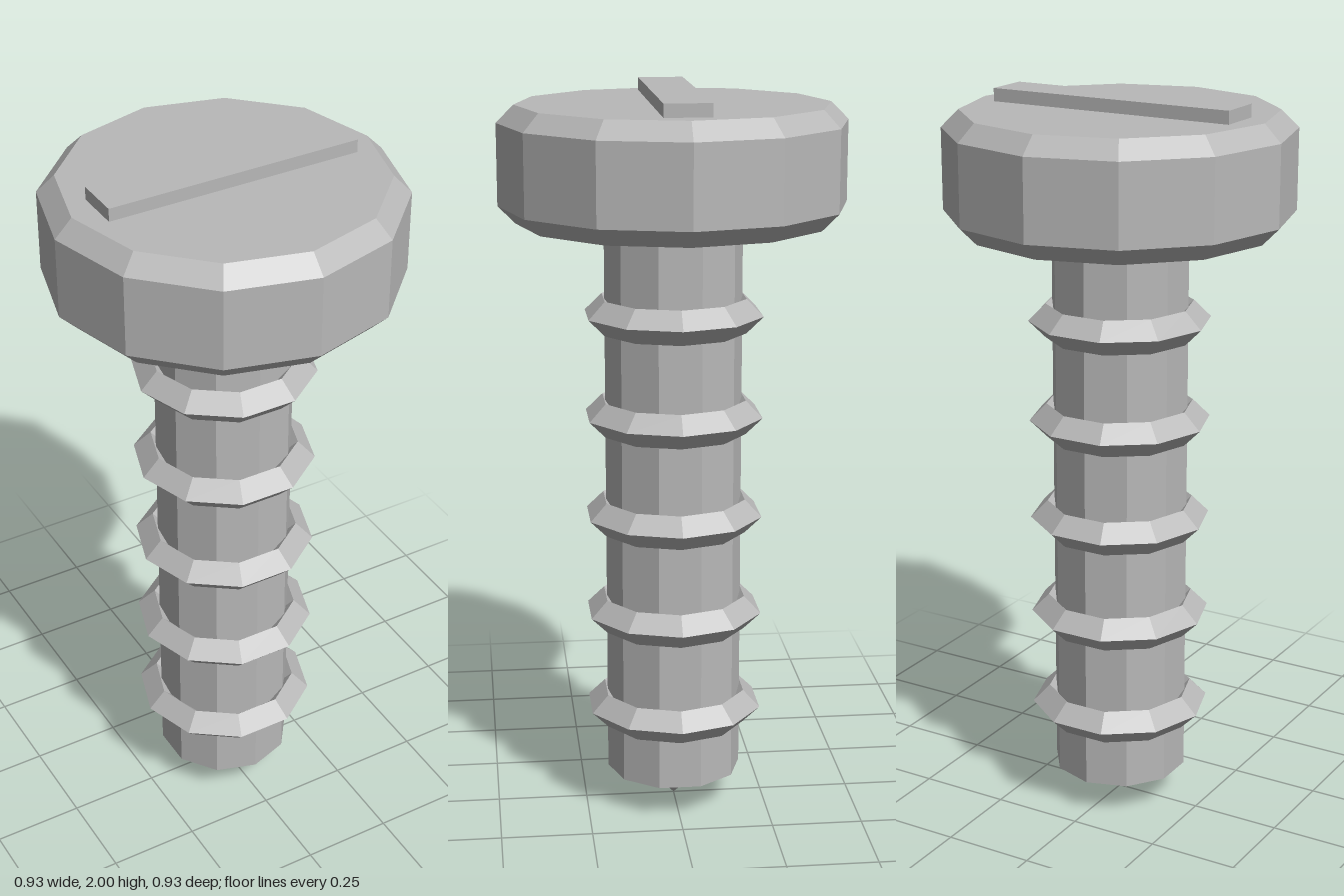
import * as THREE from 'three';

export function createModel() {
  const group = new THREE.Group();
  const steel = new THREE.MeshStandardMaterial({ color: 0xb8b8b8, flatShading: true });
  steel.name = 'steel';

  const add = (name, geometry, y) => {
    const mesh = new THREE.Mesh(geometry, steel);
    mesh.name = name;
    mesh.position.y = y;
    group.add(mesh);
    return mesh;
  };

  // Twelve-sided head with chamfered rims
  const profile = [[0, 1.653], [0.42, 1.653], [0.467, 1.7], [0.467, 1.918], [0.42, 1.965], [0, 1.965]];
  add('head', new THREE.LatheGeometry(profile.map(([r, y]) => new THREE.Vector2(r, y)), 12), 0);

  // Raised driver bar across the head
  add('driverBar', new THREE.BoxGeometry(0.702, 0.07, 0.124), 1.965);

  // Ten-sided shank and pointed tip
  add('shank', new THREE.CylinderGeometry(0.187, 0.187, 1.56, 10), 0.094 + 0.78);
  const tip = add('tip', new THREE.ConeGeometry(0.187, 0.187, 10), 0.0935);
  tip.rotation.x = Math.PI;

  // Evenly spaced thread ridges with a diamond section
  for (let i = 0; i < 5; i++) {
    const ridge = add(`threadRidge${i + 1}`, new THREE.TorusGeometry(0.2, 0.047, 4, 10), 0.283 + i * 0.28);
    ridge.rotation.x = Math.PI / 2;
  }

  return group;
}
